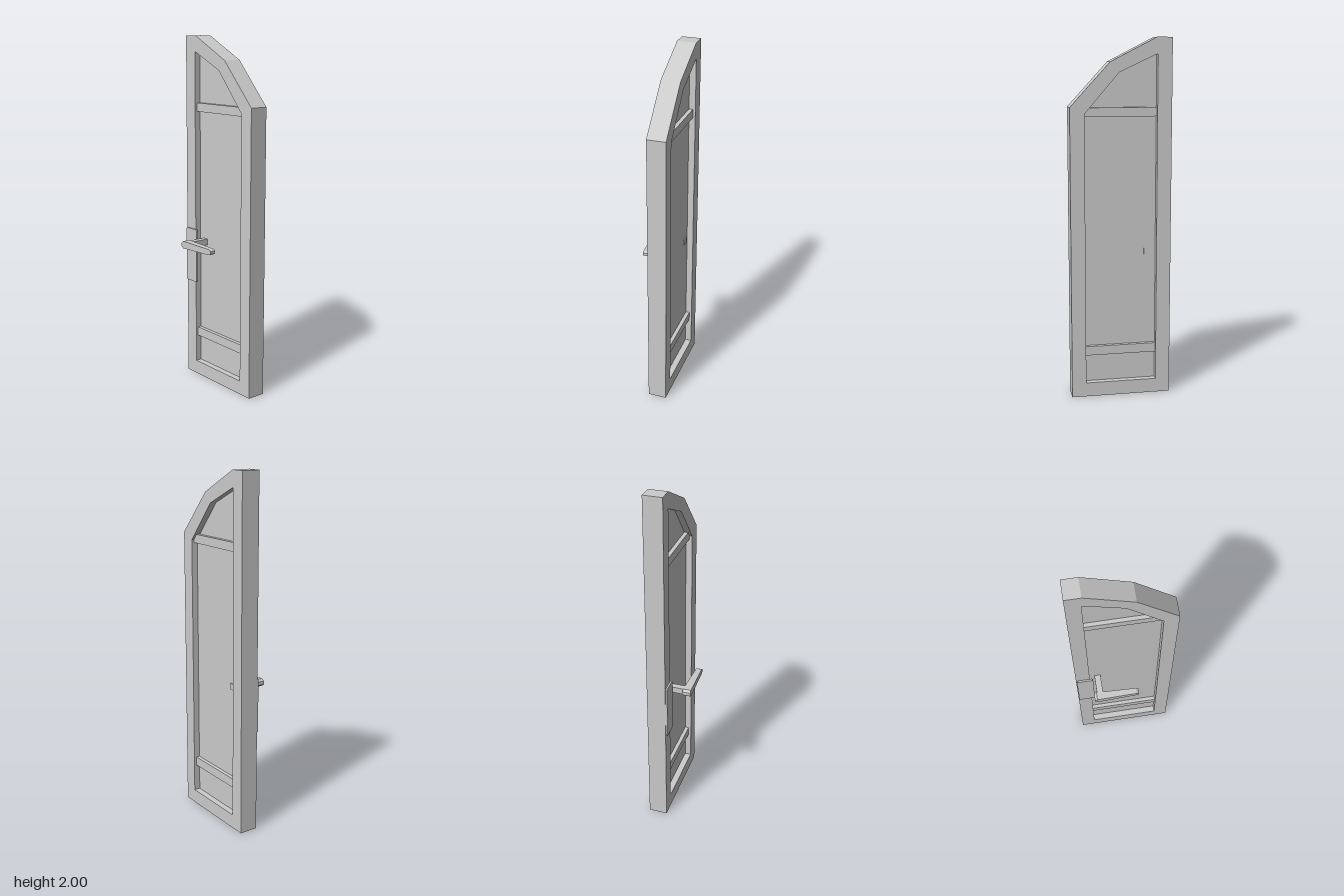
import * as THREE from 'three';

const material = new THREE.MeshStandardMaterial({ color: 0xcccccc, flatShading: true });

const outer = [[-0.28, 0], [0.28, 0], [0.28, 1.63], [0.06, 1.87], [-0.195, 2], [-0.28, 2]];
const inner = [[-0.2, 0.08], [0.2, 0.08], [0.2, 1.595], [0.01, 1.815], [-0.2, 1.912]];

const toPoints = (list) => list.map(([x, y]) => new THREE.Vector2(x, y));

// Extrude an outline between two depths
function slab(shape, z0, z1) {
  const geometry = new THREE.ExtrudeGeometry(shape, { depth: z1 - z0, bevelEnabled: false });
  return geometry.translate(0, 0, z0);
}

function box(x0, x1, y0, y1, z0, z1) {
  const geometry = new THREE.BoxGeometry(x1 - x0, y1 - y0, z1 - z0);
  return geometry.translate((x0 + x1) / 2, (y0 + y1) / 2, (z0 + z1) / 2);
}

export function createModel() {
  const door = new THREE.Group();
  door.name = 'door';
  const add = (name, geometry, parent = door) => {
    const mesh = new THREE.Mesh(geometry, material);
    mesh.name = name;
    parent.add(mesh);
  };

  // Frame with a sloping top and one large opening
  const frame = new THREE.Shape(toPoints(outer));
  frame.holes.push(new THREE.Path(toPoints(inner)));
  add('frame', slab(frame, -0.11, -0.004));

  // Thin panel recessed from both faces
  add('panel', slab(new THREE.Shape(toPoints(inner)), -0.074, -0.04));

  // Cross bars standing proud of the panel; the upper one follows the slope
  add('lowerBar', box(-0.2, 0.2, 0.238, 0.29, -0.096, -0.018));
  const upper = [[-0.2, 1.578], [0.2, 1.578], [0.2, 1.595], [0.172, 1.627], [-0.2, 1.627]];
  add('upperBar', slab(new THREE.Shape(toPoints(upper)), -0.096, -0.018));

  const handle = new THREE.Group();
  handle.name = 'handle';
  door.add(handle);

  // Lock plate with clipped corners
  const [l, r, b, t, c] = [-0.276, -0.182, 0.578, 0.894, 0.007];
  const plate = [[l + c, b], [r - c, b], [r, b + c], [r, t - c], [r - c, t], [l + c, t], [l, t - c], [l, b + c]];
  add('lockPlate', slab(new THREE.Shape(toPoints(plate)), -0.006, 0.006), handle);

  // Square spindle passing through the panel
  add('spindle', box(-0.17, -0.135, 0.807, 0.842, -0.08, 0.075), handle);

  // Lever with clipped ends, its depth narrowing towards the tip
  const lever = slab(new THREE.Shape(toPoints([
    [-0.187, 0.814], [-0.173, 0.803], [0.057, 0.808], [0.07, 0.816],
    [0.07, 0.832], [0.057, 0.84], [-0.173, 0.845], [-0.187, 0.834],
  ])), -1, 1);
  const position = lever.attributes.position;
  for (let i = 0; i < position.count; i++) {
    const along = (position.getX(i) + 0.187) / 0.257;
    const half = THREE.MathUtils.lerp(0.023, 0.016, along);
    position.setZ(i, 0.087 + Math.sign(position.getZ(i)) * half);
  }
  lever.computeVertexNormals();
  add('lever', lever, handle);

  return door;
}
